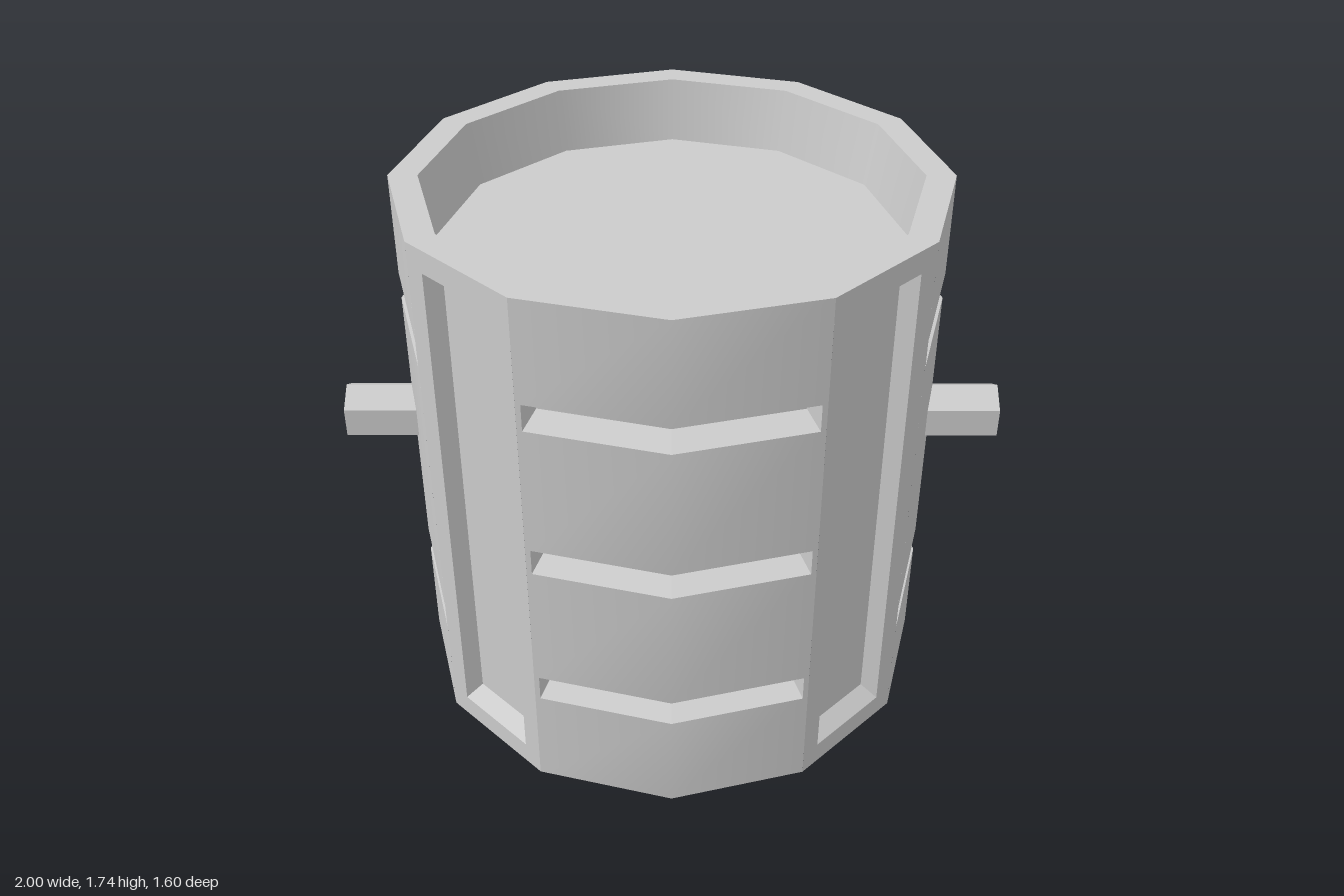
import * as THREE from 'three';

const HEIGHT = 1.74, BASE = 0.08, RADIUS = 0.8;
const material = new THREE.MeshStandardMaterial({ color: 0xcccccc });

function addMesh(parent, name, geometry) {
  const mesh = new THREE.Mesh(geometry, material);
  mesh.name = name;
  parent.add(mesh);
  return mesh;
}

// Smooth surface over a grid of columns and rows, leaving out skipped cells
function gridSurface(us, ys, point, skip = () => false) {
  const positions = [], index = [], n = us.length;
  for (const y of ys) for (const u of us) positions.push(...point(u, y));
  for (let j = 0; j < ys.length - 1; j++) {
    for (let i = 0; i < n - 1; i++) {
      if (skip(i, j)) continue;
      const a = j * n + i;
      index.push(a, a + 1, a + n + 1, a, a + n + 1, a + n);
    }
  }
  const geometry = new THREE.BufferGeometry();
  geometry.setAttribute('position', new THREE.Float32BufferAttribute(positions, 3));
  geometry.setIndex(index);
  geometry.computeVertexNormals();
  return geometry;
}

// Flat-shaded band joining two closed loops
function loopBand(outer, inner) {
  const positions = [];
  outer.forEach((a, i) => {
    const k = (i + 1) % outer.length;
    for (const p of [a, outer[k], inner[k], a, inner[k], inner[i]]) positions.push(...p);
  });
  const geometry = new THREE.BufferGeometry();
  geometry.setAttribute('position', new THREE.Float32BufferAttribute(positions, 3));
  geometry.computeVertexNormals();
  return geometry;
}

// Wall section facing +z with bevelled recesses between its first and last columns
function wallSection(name, { cols, floorCols, slots, inset, front, depth, slope }) {
  const group = new THREE.Group();
  group.name = name;
  const at = (d) => (u, y) => [u, y, front - d - Math.abs(u) * slope];
  const loop = (us, lo, hi, d) => [
    ...us.map((u) => at(d)(u, lo)),
    ...[...us].reverse().map((u) => at(d)(u, hi)),
  ];
  const rows = [BASE, ...slots.flat(), HEIGHT];
  const isSlot = (i, j) => j % 2 === 1 && i > 0 && i < cols.length - 2;
  addMesh(group, 'wall', gridSurface(cols, rows, at(0), isSlot));
  for (const [lo, hi] of slots) {
    const low = lo + inset, high = hi - inset;
    addMesh(group, 'recessSides', loopBand(loop(cols.slice(1, -1), lo, hi, 0), loop(floorCols, low, high, depth)));
    addMesh(group, 'recessFloor', gridSurface(floorCols, [low, high], at(depth)));
  }
  return group;
}

function ring(parent, name, profile) {
  const points = profile.map(([r, y]) => new THREE.Vector2(r, y));
  return addMesh(parent, name, new THREE.LatheGeometry(points, 12));
}

export function createModel() {
  const model = new THREE.Group();
  model.name = 'drum';

  for (let k = 0; k < 4; k++) {
    // Two-faced bays: three grooves front and back, two beside the handles
    const heights = k % 2 ? [0.435, 1.388] : [0.435, 0.91, 1.388];
    const bay = wallSection('groovedBay', {
      cols: [-0.4, -0.385, 0, 0.385, 0.4],
      floorCols: [-0.355, 0, 0.355],
      slots: heights.map((y) => [y - 0.041, y + 0.041]),
      inset: 0.01, front: RADIUS, depth: 0.1, slope: Math.tan(Math.PI / 12),
    });
    bay.rotation.y = k * Math.PI / 2;

    // Tall recessed panels on the diagonals
    const panel = wallSection('recessedPanel', {
      cols: [-0.207, -0.143, 0.143, 0.207],
      floorCols: [-0.122, 0.122],
      slots: [[0.15, 1.67]],
      inset: 0.038, front: RADIUS * Math.cos(Math.PI / 12), depth: 0.05, slope: 0,
    });
    panel.rotation.y = (k + 0.5) * Math.PI / 2;
    model.add(bay, panel);
  }

  // Shallow bevelled base, rim and sunken top
  ring(model, 'base', [[0, 0], [0.48, 0.003], [0.775, 0.055], [RADIUS, BASE]]);
  ring(model, 'rim', [[RADIUS, HEIGHT], [0.715, HEIGHT]]);
  ring(model, 'innerWall', [[0.715, HEIGHT], [0.68, 1.55]]);
  ring(model, 'sunkenTop', [[0.68, 1.55], [0, 1.55]]);

  // Hexagonal side handles
  for (const side of [1, -1]) {
    const geometry = new THREE.CylinderGeometry(0.09, 0.09, 0.26, 6).toNonIndexed();
    geometry.computeVertexNormals();
    geometry.rotateZ(Math.PI / 2);
    // Turn so that corners point up and down
    const p = geometry.attributes.position;
    let top = 0;
    for (let i = 0; i < p.count; i++) top = Math.max(top, p.getY(i));
    if (top < 0.089) geometry.rotateX(Math.PI / 6);
    const handle = addMesh(model, side > 0 ? 'leftHandle' : 'rightHandle', geometry);
    handle.position.set(side * 0.87, 0.95, 0);
  }
  return model;
}
